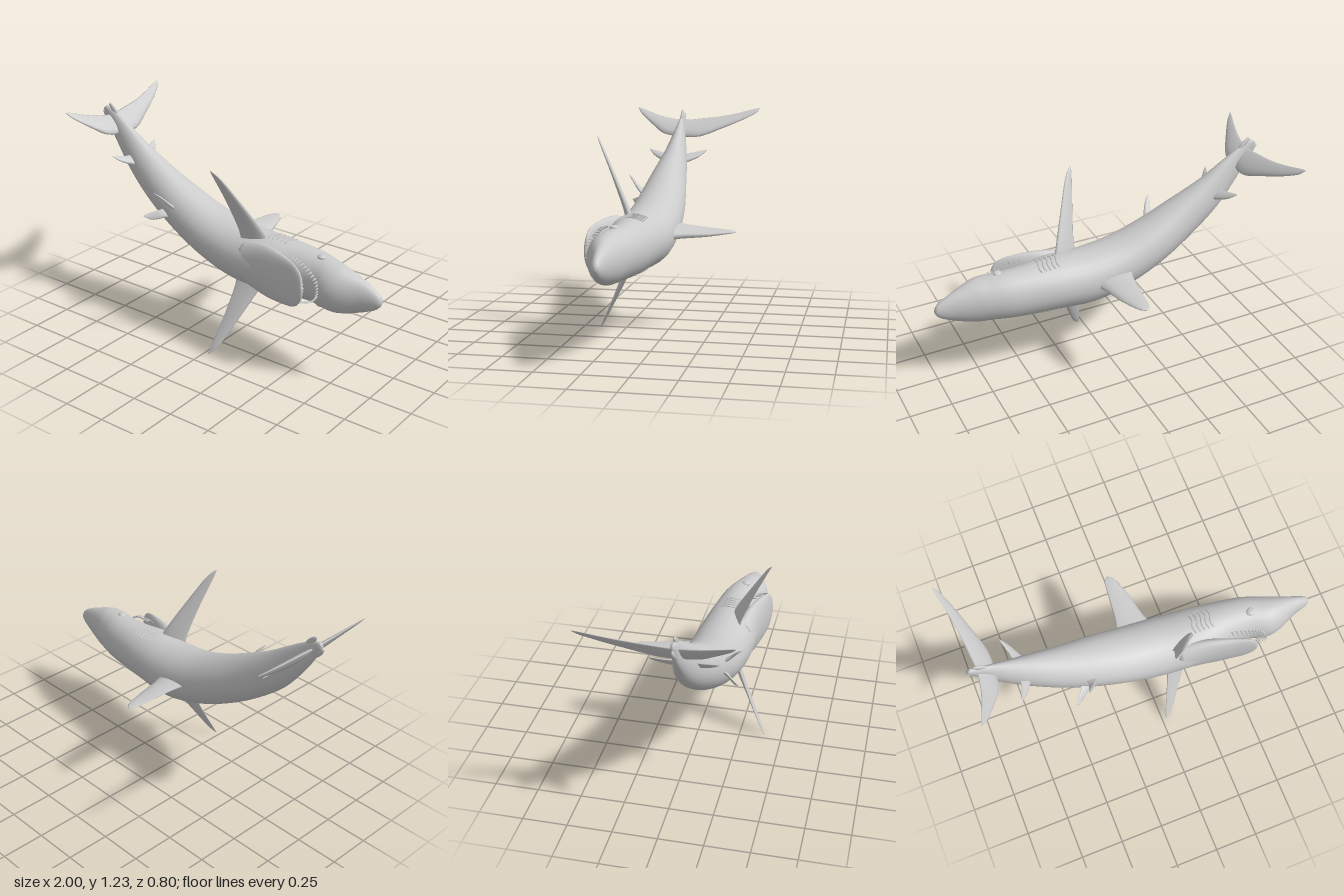
import * as THREE from 'three';

const V = (x, y, z) => new THREE.Vector3(x, y, z);
const material = new THREE.MeshStandardMaterial({ color: 0xcccccc });

// Skin a list of rings (equal point counts), close both ends and face outward.
function loft(rings) {
  const n = rings[0].length, pos = [], idx = [];
  const add = (p) => pos.push(p.x, p.y, p.z);
  rings.forEach((r) => r.forEach(add));
  for (let i = 0; i < rings.length - 1; i++) {
    for (let j = 0; j < n; j++) {
      const a = i * n + j, b = i * n + (j + 1) % n;
      idx.push(a, b, a + n, b, b + n, a + n);
    }
  }
  [0, rings.length - 1].forEach((i) => {
    const c = pos.length / 3;
    add(rings[i].reduce((s, p) => s.add(p), V(0, 0, 0)).divideScalar(n));
    for (let j = 0; j < n; j++) {
      const a = i * n + j, b = i * n + (j + 1) % n;
      if (i === 0) idx.push(c, b, a); else idx.push(c, a, b);
    }
  });
  const at = (i) => V(pos[3 * i], pos[3 * i + 1], pos[3 * i + 2]);
  const o = at(0);
  let volume = 0;
  for (let k = 0; k < idx.length; k += 3) {
    const [a, b, c] = [0, 1, 2].map((m) => at(idx[k + m]).sub(o));
    volume += a.dot(b.cross(c));
  }
  if (volume < 0) idx.reverse();
  const g = new THREE.BufferGeometry();
  g.setAttribute('position', new THREE.Float32BufferAttribute(pos, 3));
  g.setIndex(idx);
  g.computeVertexNormals();
  return g;
}

// Elliptical sweep; stations are [x, y, half width, back z, belly z].
function sweep(stations) {
  const path = new THREE.CatmullRomCurve3(
    stations.map(([x, y, , a, b]) => V(x, y, (a + b) / 2)), false, 'catmullrom', 0.5);
  const size = new THREE.CatmullRomCurve3(
    stations.map(([, , w, a, b]) => V(w, (b - a) / 2, 0)), false, 'catmullrom', 0.5);
  const geometry = (steps, sides) => {
    const rings = [];
    for (let i = 0; i <= steps; i++) {
      const c = path.getPoint(i / steps), s = size.getPoint(i / steps);
      const t = path.getTangent(i / steps), side = V(-t.y, t.x, 0).normalize();
      rings.push(Array.from({ length: sides }, (_, j) => {
        const a = (j / sides) * Math.PI * 2;
        return c.clone().addScaledVector(side, Math.cos(a) * Math.max(s.x, 0.001))
          .add(V(0, 0, Math.sin(a) * Math.max(s.y, 0.001)));
      }));
    }
    return loft(rings);
  };
  return { path, size, geometry };
}

// Fin through stations [leading point, trailing point, thickness].
function fin(stations) {
  const n = stations.length - 1;
  const curve = (k) => new THREE.CatmullRomCurve3(
    stations.map((s) => V(...s[k])), false, 'catmullrom', 0.5);
  const lead = curve(0), trail = curve(1);
  const thick = new THREE.CatmullRomCurve3(stations.map((s, i) => V(s[2], i, 0)), false, 'catmullrom', 0.5);
  const rings = [], steps = n * 4;
  for (let i = 0; i <= steps; i++) {
    const u = i / steps, L = lead.getPoint(u), T = trail.getPoint(u);
    const chord = T.clone().sub(L);
    const span = lead.getTangent(u).add(trail.getTangent(u));
    const normal = chord.clone().cross(span).normalize();
    rings.push(Array.from({ length: 14 }, (_, j) => {
      const a = (j / 14) * Math.PI * 2, f = (1 - Math.cos(a)) / 2;
      return L.clone().addScaledVector(chord, f)
        .addScaledVector(normal, Math.sin(a) * (1 - 0.6 * f) * thick.getPoint(u).x * 0.6);
    }));
  }
  return loft(rings);
}

export function createModel() {
  const model = new THREE.Group();
  const part = (name, geometry, parent = model) => {
    const m = new THREE.Mesh(geometry, material);
    m.name = name;
    parent.add(m);
    return m;
  };
  const group = (name) => {
    const g = new THREE.Group();
    g.name = name;
    model.add(g);
    return g;
  };

  // Body, bent sideways from tail to snout
  const body = sweep([
    [-0.975, 1.197, 0.018, 0.08, 0.104], [-0.91, 1.135, 0.05, 0.073, 0.115],
    [-0.82, 1.045, 0.078, 0.052, 0.138], [-0.68, 0.915, 0.107, 0.02, 0.177],
    [-0.515, 0.80, 0.126, -0.007, 0.22], [-0.327, 0.692, 0.139, -0.035, 0.252],
    [-0.128, 0.607, 0.150, -0.047, 0.276], [0.085, 0.558, 0.162, -0.047, 0.293],
    [0.30, 0.557, 0.158, -0.027, 0.300], [0.45, 0.555, 0.151, -0.006, 0.268],
    [0.59, 0.553, 0.144, 0.017, 0.264], [0.69, 0.547, 0.138, 0.046, 0.288],
    [0.77, 0.542, 0.130, 0.075, 0.276], [0.88, 0.540, 0.093, 0.115, 0.228],
    [0.96, 0.538, 0.055, 0.14, 0.204], [0.99, 0.536, 0.028, 0.152, 0.19],
    [1.0, 0.535, 0.004, 0.168, 0.174],
  ]);
  part('body', body.geometry(64, 28));

  // Lower jaw hanging open
  part('lowerJaw', sweep([
    [0.14, 0.557, 0.12, 0.14, 0.290], [0.30, 0.557, 0.150, 0.19, 0.305],
    [0.42, 0.556, 0.148, 0.235, 0.320], [0.52, 0.555, 0.132, 0.28, 0.331],
    [0.57, 0.554, 0.105, 0.300, 0.336], [0.597, 0.553, 0.064, 0.312, 0.337],
    [0.607, 0.553, 0.01, 0.32, 0.332],
  ]).geometry(30, 24));

  // Teeth around the U-shaped mouth
  const teeth = group('teeth');
  const toothRow = (name, count, x0, length, width, z0, z1, dir) => {
    for (let i = 0; i < count; i++) {
      const a = (i / (count - 1) - 0.5) * Math.PI;
      const tooth = part(name, new THREE.ConeGeometry(0.007, 0.034, 5), teeth);
      tooth.rotation.x = dir * Math.PI / 2;
      tooth.position.set(x0 + length * Math.cos(a), 0.552 + width * Math.sin(a),
        z0 + (z1 - z0) * Math.cos(a));
    }
  };
  toothRow('upperTooth', 25, 0.48, 0.195, 0.122, 0.25, 0.294, 1);
  toothRow('lowerTooth', 17, 0.45, 0.145, 0.118, 0.265, 0.308, -1);

  // Point on the flank of the head at a given x and z
  const flank = (x, z, side) => {
    let lo = 0, hi = 1;
    for (let i = 0; i < 30; i++) {
      const m = (lo + hi) / 2;
      if (body.path.getPoint(m).x < x) lo = m; else hi = m;
    }
    const c = body.path.getPoint(lo), s = body.size.getPoint(lo);
    return V(x, c.y + side * s.x * Math.sqrt(Math.max(0, 1 - ((z - c.z) / s.y) ** 2)), z);
  };

  // Eyes and wavy gill slits on both flanks
  [1, -1].forEach((side) => {
    const name = side > 0 ? 'left' : 'right';
    const eye = part(name + 'Eye', new THREE.SphereGeometry(0.025, 16, 12));
    eye.scale.y = 0.5;
    eye.position.copy(flank(0.62, 0.165, side));
    const gills = group(name + 'Gills');
    for (let i = 0; i < 5; i++) {
      const pts = Array.from({ length: 9 }, (_, k) => flank(
        0.28 + i * 0.027 + 0.007 * Math.sin(k * 0.8), 0.06 + k * 0.0145, side));
      part('gillSlit', new THREE.TubeGeometry(new THREE.CatmullRomCurve3(pts), 16, 0.005, 5), gills);
    }
  });

  // Pectoral fins
  const pectoral = [
    [[0.29, 0.64, 0.15], [0.11, 0.64, 0.21], 0.045],
    [[0.255, 0.735, 0.18], [0.12, 0.73, 0.23], 0.038],
    [[0.175, 0.92, 0.28], [0.09, 0.92, 0.305], 0.024],
    [[0.105, 1.07, 0.365], [0.058, 1.08, 0.378], 0.014],
    [[0.06, 1.123, 0.4], [0.055, 1.122, 0.4], 0.004],
  ];
  const across = ([x, y, z]) => [x - 0.03, 1.126 - y, z];
  part('leftPectoralFin', fin(pectoral));
  part('rightPectoralFin', fin(pectoral.map(([l, t, w]) => [across(l), across(t), w])));

  // Tall dorsal fin on the back
  part('dorsalFin', fin([
    [[0.10, 0.555, 0.0], [-0.14, 0.615, 0.0], 0.075],
    [[0.065, 0.56, -0.09], [-0.108, 0.605, -0.09], 0.055],
    [[0.035, 0.565, -0.22], [-0.09, 0.595, -0.22], 0.035],
    [[-0.005, 0.577, -0.34], [-0.074, 0.586, -0.35], 0.018],
    [[-0.042, 0.58, -0.383], [-0.05, 0.581, -0.383], 0.004],
  ]));

  // Matching second dorsal and anal fins, mirrored about the tail
  const small = [
    [[-0.66, 0.895, 0.07], [-0.735, 0.965, 0.07], 0.03],
    [[-0.69, 0.915, 0.01], [-0.742, 0.965, 0.0], 0.026],
    [[-0.727, 0.945, -0.055], [-0.76, 0.978, -0.06], 0.014],
    [[-0.764, 0.98, -0.094], [-0.768, 0.984, -0.094], 0.004],
  ];
  const flip = ([x, y, z]) => [x, y, 0.18 - z];
  part('secondDorsalFin', fin(small));
  part('analFin', fin(small.map(([l, t, w]) => [flip(l), flip(t), w])));

  // Pelvic fins under the belly
  part('leftPelvicFin', fin([
    [[-0.33, 0.71, 0.19], [-0.40, 0.755, 0.2], 0.025],
    [[-0.343, 0.76, 0.245], [-0.395, 0.79, 0.26], 0.02],
    [[-0.375, 0.82, 0.295], [-0.408, 0.835, 0.30], 0.012],
    [[-0.408, 0.854, 0.325], [-0.412, 0.854, 0.326], 0.004],
  ]));
  part('rightPelvicFin', fin([
    [[-0.35, 0.68, 0.2], [-0.42, 0.735, 0.2], 0.025],
    [[-0.395, 0.685, 0.25], [-0.44, 0.722, 0.25], 0.02],
    [[-0.45, 0.672, 0.295], [-0.478, 0.708, 0.295], 0.012],
    [[-0.494, 0.69, 0.325], [-0.498, 0.694, 0.325], 0.004],
  ]));

  // Crescent tail fin: [z, leading y, trailing y, thickness]
  const tail = (y, z) => [-0.86 - (y - 1.075) * 0.87, y, z];
  part('tailFin', fin([
    [-0.4, 1.233, 1.237, 0.004], [-0.37, 1.203, 1.233, 0.012], [-0.28, 1.157, 1.21, 0.02],
    [-0.16, 1.108, 1.185, 0.03], [-0.03, 1.06, 1.17, 0.038], [0.09, 1.06, 1.16, 0.04],
    [0.2, 1.075, 1.175, 0.036], [0.28, 1.125, 1.197, 0.024], [0.37, 1.195, 1.228, 0.012],
    [0.4, 1.233, 1.237, 0.004],
  ].map(([z, a, b, w]) => [tail(a, z), tail(b, z), w])));

  // Flat keels either side of the tail root
  [1, -1].forEach((s) => {
    const keel = part(s > 0 ? 'leftKeel' : 'rightKeel', new THREE.SphereGeometry(1, 16, 8));
    keel.scale.set(0.05, 0.017, 0.01);
    keel.position.set(-0.935 + s * 0.025, 1.165 + s * 0.025, 0.092);
    keel.rotation.z = -0.8;
  });

  return model;
}
